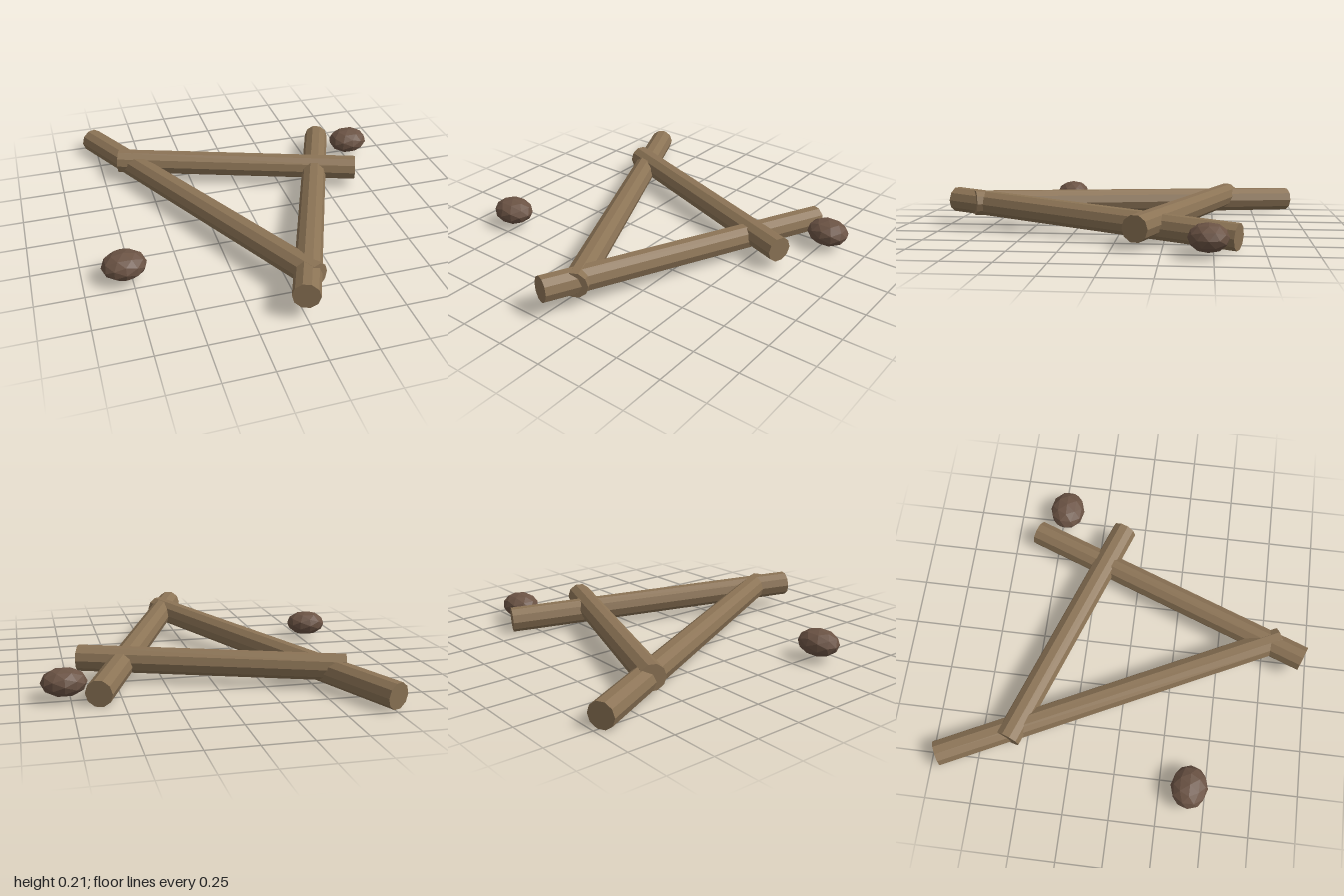
import * as THREE from 'three';

const wood = new THREE.MeshStandardMaterial({ color: 0x8b7355, flatShading: true });
const stone = new THREE.MeshStandardMaterial({ color: 0x6b5344, flatShading: true });

// Straight faceted log between the centres of its two end faces
function log(name, a, b) {
  const from = new THREE.Vector3(...a), to = new THREE.Vector3(...b);
  const dir = to.clone().sub(from);
  const geo = new THREE.CylinderGeometry(0.07, 0.07, dir.length(), 10);
  geo.rotateY(Math.PI / 10);
  geo.rotateX(Math.PI / 2); // length now along z
  const mesh = new THREE.Mesh(geo, wood);
  mesh.name = name;
  mesh.position.copy(from).add(to).multiplyScalar(0.5);
  mesh.lookAt(to);
  return mesh;
}

// Flattened faceted stone
function rock(name, x, y, z) {
  const mesh = new THREE.Mesh(new THREE.IcosahedronGeometry(1, 1), stone);
  mesh.name = name;
  mesh.position.set(x, y, z);
  mesh.scale.set(0.117, 0.072, 0.1);
  return mesh;
}

export function createModel() {
  const group = new THREE.Group();
  group.name = 'logTriangle';
  group.add(
    // two sloping logs crossing at the front, one level log across the back
    log('rightLog', [-0.765, 0.077, -0.968], [0.09, 0.147, 0.83]),
    log('leftLog', [0.624, 0.075, -0.622], [-0.011, 0.153, 0.963]),
    log('crossLog', [-0.648, 0.116, -0.593], [0.68, 0.116, -0.119]),
    // stones either side
    rock('rightRock', -0.785, 0.1, 0.41),
    rock('leftRock', 0.78, 0.1, -0.475),
  );
  return group;
}
